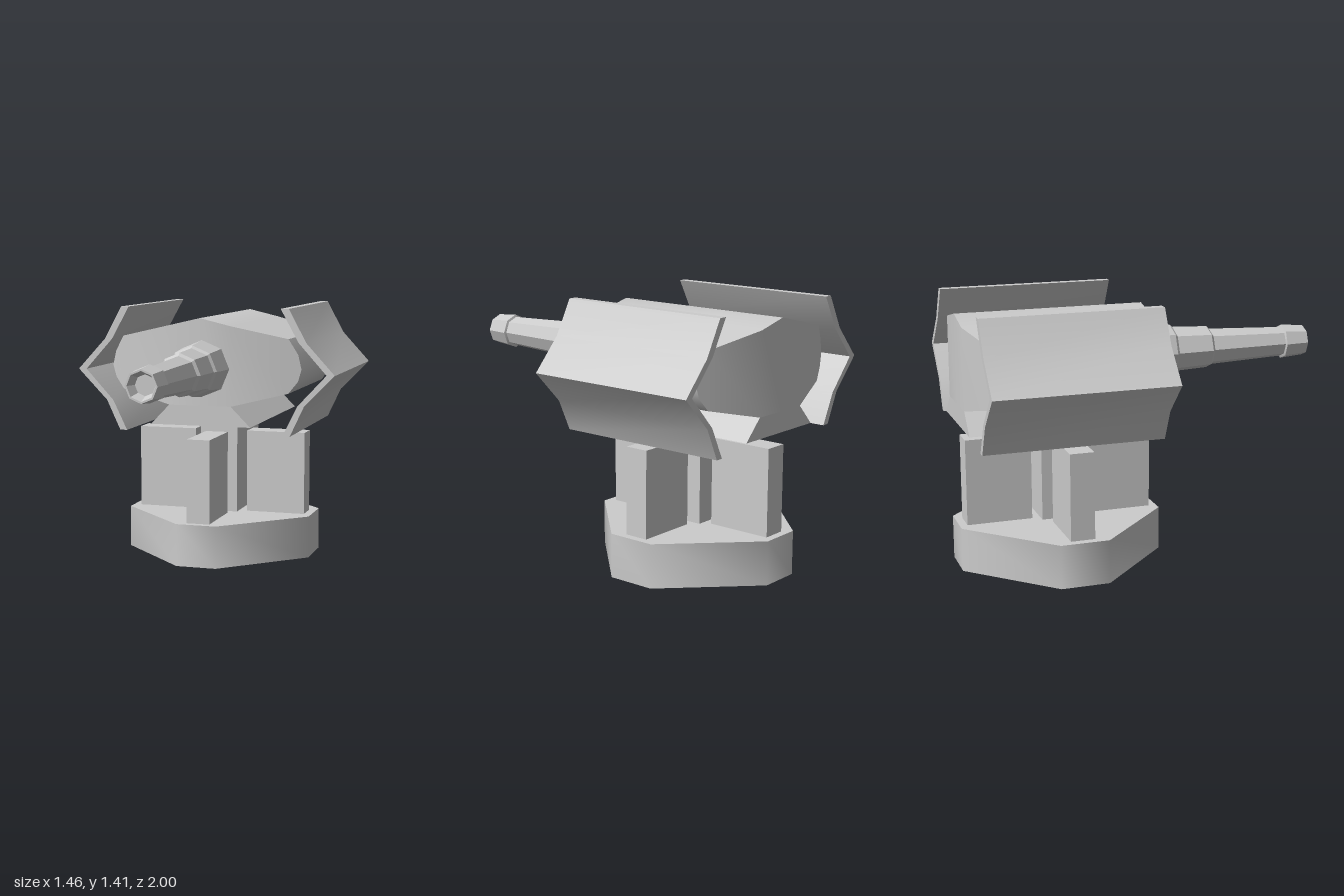
import * as THREE from 'three';
import { toCreasedNormals } from 'three/addons/utils/BufferGeometryUtils.js';

const CX = -0.0125, CZ = -0.45; // pedestal axis

export function createModel() {
  const model = new THREE.Group();
  const material = new THREE.MeshStandardMaterial({ color: 0xcccccc });

  function add(name, geometry, crease = 0.6) {
    const mesh = new THREE.Mesh(toCreasedNormals(geometry, crease), material);
    mesh.name = name;
    model.add(mesh);
    return mesh;
  }

  // Extrudes an x/y outline between two z values
  function prism(points, z0, z1) {
    const shape = new THREE.Shape(points.map(([x, y]) => new THREE.Vector2(x, y)));
    return new THREE.ExtrudeGeometry(shape, { depth: z1 - z0, bevelEnabled: false }).translate(0, 0, z0);
  }

  function box(x0, x1, y0, y1, z0, z1) {
    return new THREE.BoxGeometry(x1 - x0, y1 - y0, z1 - z0)
      .translate((x0 + x1) / 2, (y0 + y1) / 2, (z0 + z1) / 2);
  }

  // Base: square plate with wide corner cuts
  const hx = 0.5325, hz = 0.55, cut = 0.42;
  const plan = [
    [hx, hz - cut], [hx - cut, hz], [cut - hx, hz], [-hx, hz - cut],
    [-hx, cut - hz], [cut - hx, -hz], [hx - cut, -hz], [hx, cut - hz],
  ];
  add('base', prism(plan, 0, 0.235).rotateX(-Math.PI / 2).translate(CX, 0, CZ), 0.9);

  // Central post and four upright fins around it
  add('post', box(CX - 0.108, CX + 0.108, 0.2, 0.8, CZ - 0.11, CZ + 0.11));
  for (const s of [-1, 1]) {
    const fx = CX + s * 0.322, fz = CZ + s * 0.332;
    add(s > 0 ? 'leftFin' : 'rightFin', box(fx - 0.168, fx + 0.168, 0.2, 0.7, CZ - 0.065, CZ + 0.065));
    add(s > 0 ? 'frontFin' : 'backFin', box(CX - 0.065, CX + 0.065, 0.2, 0.7, fz - 0.177, fz + 0.177));
  }

  // Flared saddle under the body
  add('saddle', prism([[-0.29, 0.775], [0.275, 0.775], [0.165, 0.885], [0.165, 0.92], [-0.185, 0.92], [-0.185, 0.885]], -0.98, 0.035));

  // Body: rectangular sections along x given as [x, bottom, top], with swept-back ends
  const stations = [
    [-0.555, 1.085, 1.085], [-0.535, 1.02, 1.165], [-0.485, 0.955, 1.25], [-0.185, 0.885, 1.319],
    [-0.01, 0.885, 1.36],
    [0.165, 0.885, 1.319], [0.46, 0.955, 1.25], [0.51, 1.02, 1.165], [0.527, 1.085, 1.085],
  ];
  const positions = [], index = [];
  stations.forEach(([x, bottom, top], i) => {
    const half = 0.508 - 0.33 * Math.max(0, Math.abs(x - CX) - 0.18);
    const front = -0.473 + half, back = -0.473 - half;
    positions.push(x, top, front, x, top, back, x, bottom, back, x, bottom, front);
    if (i === stations.length - 1) return;
    for (let k = 0; k < 4; k++) {
      const a = i * 4 + k, b = i * 4 + (k + 1) % 4;
      index.push(a, a + 4, b, b, a + 4, b + 4);
    }
  });
  const body = new THREE.BufferGeometry();
  body.setAttribute('position', new THREE.Float32BufferAttribute(positions, 3));
  body.setIndex(index);
  add('body', body, 0.7);

  // Bent side shields, mirrored
  const shield = [
    [0.43, 1.415], [0.475, 1.415], [0.572, 1.235], [0.728, 1.065], [0.562, 0.895], [0.485, 0.73],
    [0.445, 0.73], [0.525, 0.895], [0.683, 1.065], [0.53, 1.235],
  ];
  for (const s of [-1, 1]) {
    add(s > 0 ? 'leftShield' : 'rightShield', prism(shield.map(([x, y]) => [s * x, y]), -0.96, 0), 0.7);
  }

  // Stepped eight-sided barrel with a recessed muzzle, as [radius, z]
  const profile = [
    [0, 0], [0.155, 0.02], [0.137, 0.205], [0.124, 0.22], [0.115, 0.42], [0.1, 0.435],
    [0.082, 0.865], [0.095, 0.87], [0.084, 1], [0.074, 1], [0.053, 0.94], [0, 0.94],
  ].map(([r, z]) => new THREE.Vector2(r, z));
  add('barrel', new THREE.LatheGeometry(profile, 8).rotateX(Math.PI / 2).translate(0.003, 1.088, 0), 0.3);

  return model;
}
